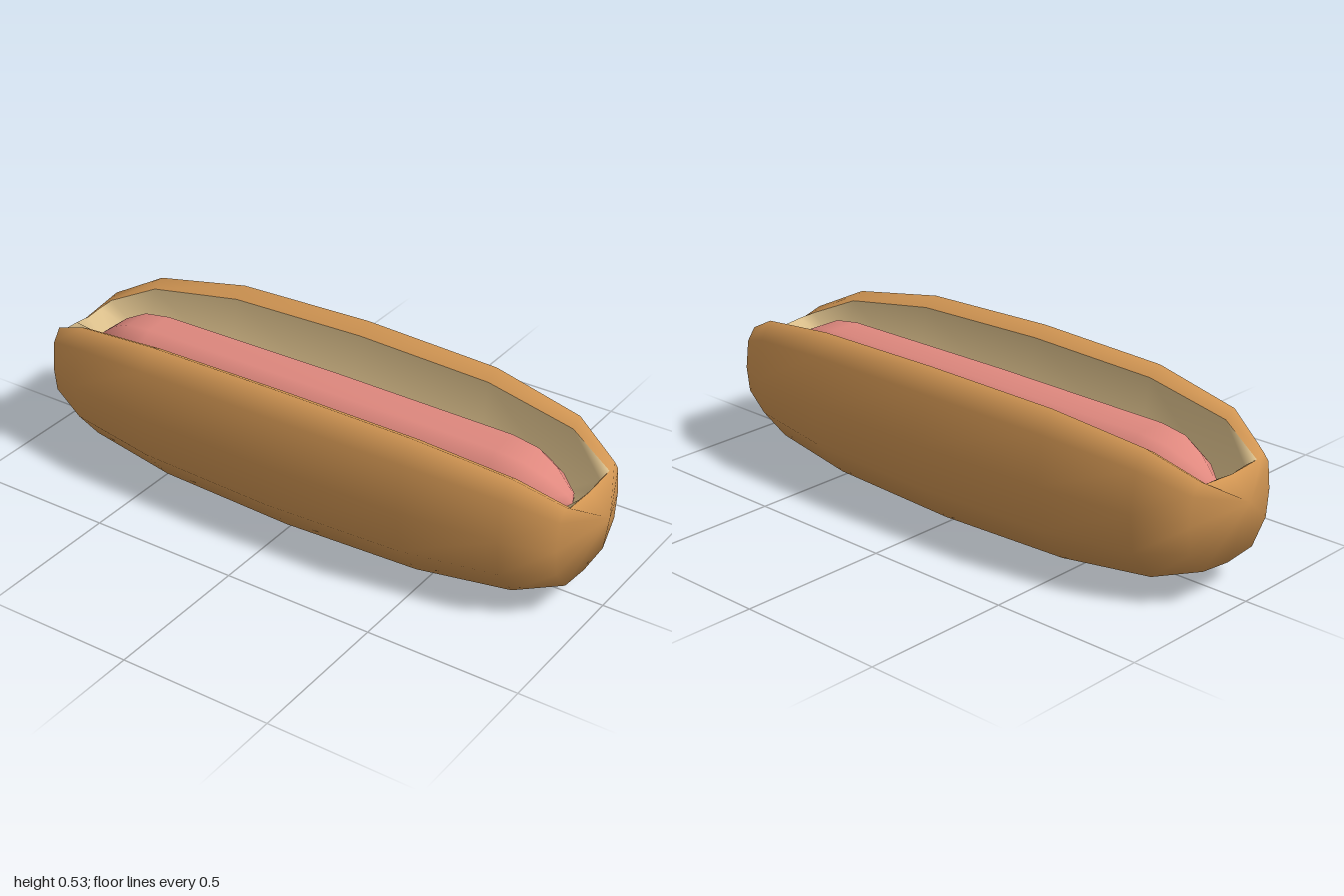
import * as THREE from 'three';

// Stations along the bun: [x, width scale, height scale, base height]
const half = [[0, 1, 1, 0], [0.47, 0.96, 0.958, 0.012], [0.78, 0.805, 0.81, 0.045], [0.93, 0.575, 0.566, 0.1]];
const stations = [...half.slice(1).reverse().map(([x, ...s]) => [-x, ...s]), ...half];

// Mirrors a half section (z, y), ending on the middle line, to the other side
const mirror = (pts) => [...pts, ...pts.slice(0, -1).reverse().map(([z, y]) => [-z, y])];

// Skins a list of equally long rings, facing outwards or inwards
function loft(rings, inward) {
  const n = rings[0].length, index = [];
  for (let i = 0; i < rings.length - 1; i++) {
    for (let j = 0; j < n - 1; j++) {
      const a = i * n + j, b = a + n, c = b + 1, d = a + 1;
      index.push(...(inward ? [a, b, d, b, c, d] : [a, d, b, b, d, c]));
    }
  }
  return { positions: rings.flat(2), index };
}

function toGeometry({ positions, index }) {
  const g = new THREE.BufferGeometry();
  g.setAttribute('position', new THREE.Float32BufferAttribute(positions, 3));
  g.setIndex(index);
  g.computeVertexNormals();
  return g;
}

const place = (section, [x, w, h, base]) => section.map(([z, y]) => [x, base + h * y, w * z]);

// Outer crust with a pointed fan at each end
function crustGeometry() {
  const section = mirror([[0.205, 0.5], [0.255, 0.53], [0.305, 0.46], [0.325, 0.3], [0.307, 0.15], [0.2, 0.02], [0, 0]]);
  const data = loft(stations.map((s) => place(section, s)));
  const n = section.length;
  for (const side of [-1, 1]) {
    const start = side < 0 ? 0 : (stations.length - 1) * n;
    const tip = data.positions.length / 3, dip = tip + 1;
    data.positions.push(side, 0.31, 0, side * 0.93, 0.375, 0);
    const loop = [...Array.from({ length: n }, (_, j) => start + j), dip, start];
    for (let j = 0; j < loop.length - 1; j++) {
      data.index.push(...(side > 0 ? [loop[j], loop[j + 1], tip] : [loop[j + 1], loop[j], tip]));
    }
  }
  return toGeometry(data);
}

// Hollow of the bun, rising to the lip at both ends
function crumbGeometry() {
  const section = mirror([[0.205, 0.5], [0.165, 0.26], [0, 0.17]]);
  const rings = stations.map((s) => {
    const ring = place(section, s);
    if (Math.abs(s[0]) < 0.9) return ring;
    ring[1] = [s[0], 0.381, 0.06];
    ring[2] = [s[0], 0.375, 0];
    ring[3] = [s[0], 0.381, -0.06];
    return ring;
  });
  return toGeometry(loft(rings, true));
}

// Eight-sided sausage with rounded ends
function sausageGeometry() {
  const end = [[0, 0.875], [0.035, 0.862], [0.088, 0.8], [0.124, 0.73], [0.137, 0.64]];
  const profile = [...end.map(([r, x]) => [r, -x]), [0.141, 0], ...end.slice().reverse()];
  const g = new THREE.LatheGeometry(profile.map(([r, x]) => new THREE.Vector2(r, x)), 8, Math.PI / 8);
  return g.rotateZ(Math.PI / 2).translate(0, 0.31, -0.005);
}

export function createModel() {
  const material = (name, color, side = THREE.FrontSide) =>
    Object.assign(new THREE.MeshStandardMaterial({ color, side }), { name });
  const group = new THREE.Group();
  group.name = 'hotDog';
  const add = (name, geometry, mat) => {
    const mesh = new THREE.Mesh(geometry, mat);
    mesh.name = name;
    group.add(mesh);
  };
  add('bunCrust', crustGeometry(), material('crustBrown', 0xd29653, THREE.DoubleSide));
  add('bunInside', crumbGeometry(), material('crumbCream', 0xdcc08c, THREE.DoubleSide));
  add('sausage', sausageGeometry(), material('sausagePink', 0xe28a80));
  return group;
}
